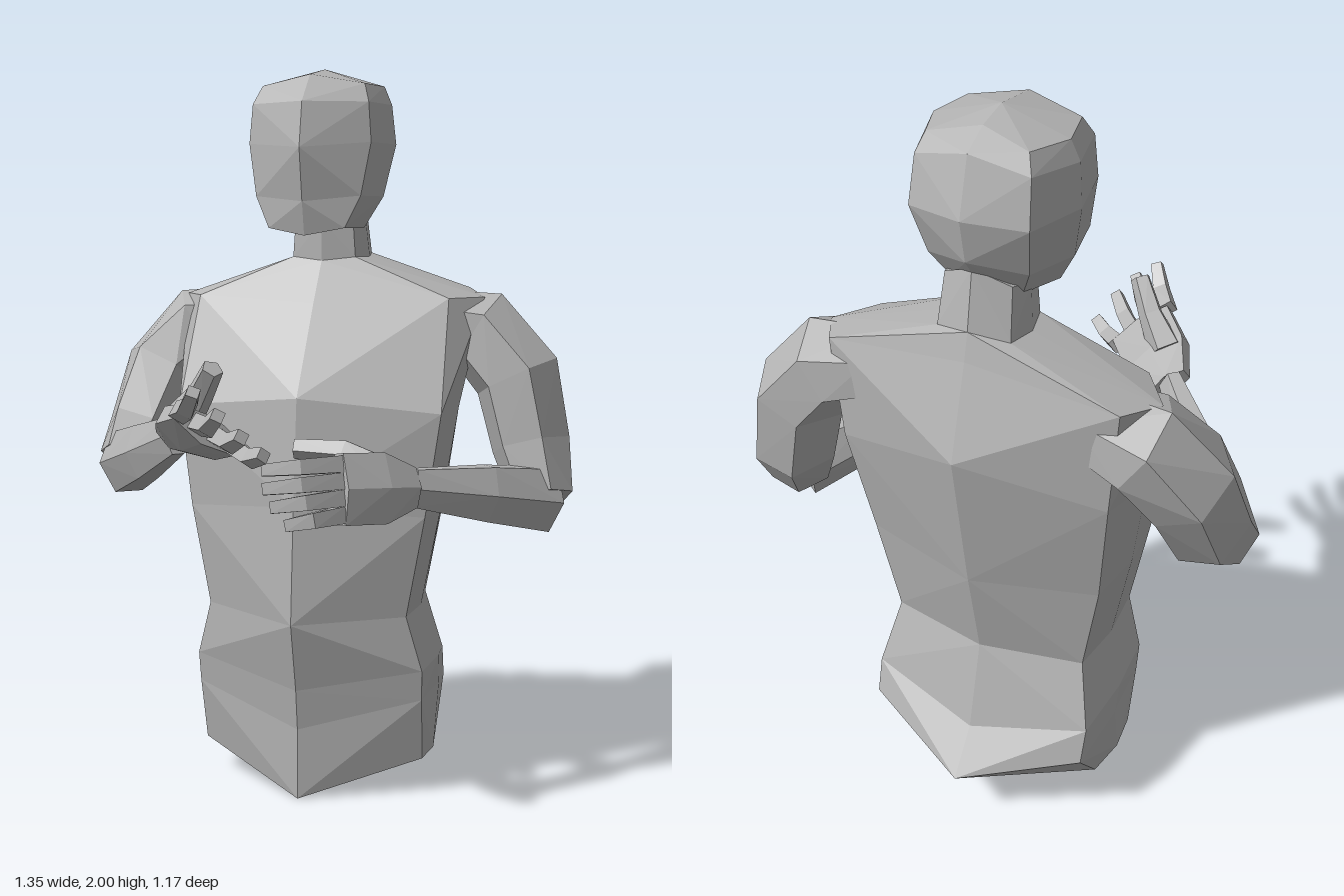
import * as THREE from 'three';

const V = (p) => new THREE.Vector3(...p);
const lerp = (a, b, t) => a.map((v, i) => v + (b[i] - v) * t);
const plus = (a, b, s = 1) => a.map((v, i) => v + b[i] * s);

// Whether folding the quad a-b-c-d along a-c makes it bulge outward
function bulges(a, b, c, d) {
  const normal = V(plus(c, a, -1)).cross(V(plus(d, b, -1)));
  return normal.dot(V(plus(plus(a, c), plus(b, d), -1))) >= 0;
}

// Flat-faceted skin over closed rings of equal length, ends closed by fans
function loft(rings, startCap, endCap) {
  const pos = [];
  const tri = (a, b, c) => pos.push(...a, ...b, ...c);
  const n = rings[0].length;
  const end = rings[rings.length - 1];
  for (let i = 0; i < n; i++) {
    const j = (i + 1) % n;
    for (let k = 0; k < rings.length - 1; k++) {
      const quad = [rings[k][i], rings[k][j], rings[k + 1][j], rings[k + 1][i]];
      const [a, b, c, d] = bulges(...quad) ? quad : [...quad.slice(1), quad[0]];
      tri(a, b, c);
      tri(a, c, d);
    }
    tri(startCap, rings[0][j], rings[0][i]);
    tri(endCap, end[i], end[j]);
  }
  const g = new THREE.BufferGeometry();
  g.setAttribute('position', new THREE.Float32BufferAttribute(pos, 3));
  g.computeVertexNormals();
  return g;
}

// Eight-point body section: half width, heights and depths from front to back,
// with the corners set in from the side by the given fractions
function section(w, yFront, ySide, yBack, zFront, zCorner, zRear, zBack, front, rear) {
  const half = [
    [w * front, ySide, zCorner],
    [w, ySide, (zCorner + zRear) / 2],
    [w * rear, ySide + (yBack - ySide) * 0.3, zRear],
  ];
  const mirrored = half.map(([x, y, z]) => [-x, y, z]).reverse();
  return [[0, yFront, zFront], ...half, [0, yBack, zBack], ...mirrored];
}

// Tapered limb along points; radii are [halfWidth, halfThickness]
function limb(path, radii, wide, sides) {
  const pts = path.map(V);
  const last = pts.length - 1;
  const rings = pts.map((p, k) => {
    const t = pts[Math.min(k + 1, last)].clone().sub(pts[Math.max(k - 1, 0)]).normalize();
    const w = V(wide).addScaledVector(t, -V(wide).dot(t)).normalize();
    const n = t.clone().cross(w);
    const [rw, rt] = radii[k];
    return Array.from({ length: sides }, (_, i) => {
      const a = ((i + 0.5) / sides) * Math.PI * 2;
      return p.clone().addScaledVector(w, Math.cos(a) * rw).addScaledVector(n, Math.sin(a) * rt).toArray();
    });
  });
  return loft(rings, path[0], path[last]);
}

const grey = new THREE.MeshStandardMaterial({ color: 0xb4b4b4 });
grey.name = 'grey';

function add(parent, name, geometry) {
  const mesh = new THREE.Mesh(geometry, grey);
  mesh.name = name;
  parent.add(mesh);
  return mesh;
}

// Arm from shoulder to fingertips; knuckles and tips run from first to last finger
function buildArm(name, { upper, middle, wrist, thumb, knuckles, tips, arch, bend }) {
  const arm = new THREE.Group();
  arm.name = name;
  const elbow = upper[upper.length - 1];
  const across = plus(knuckles[0], knuckles[1], -1);
  const palmEnd = lerp(...knuckles, 0.5);

  add(arm, 'upperArm', limb(upper, [[0.11, 0.09], [0.135, 0.12], [0.14, 0.122], [0.135, 0.11], [0.09, 0.085]], [0, 0, 1], 6));
  add(arm, 'forearm', limb([elbow, middle, wrist], [[0.1, 0.08], [0.085, 0.06], [0.057, 0.033]], [0, 1, 0], 6));
  add(arm, 'palm', limb([wrist, lerp(wrist, palmEnd, 0.45), palmEnd], [[0.06, 0.04], [0.105, 0.052], [0.105, 0.038]], across, 6));
  add(arm, 'thumb', limb(thumb, [[0.05, 0.055], [0.035, 0.037], [0.028, 0.026]], across, 5));

  // Four fingers fanned across the knuckle line, the middle two longer
  for (let i = 0; i < 4; i++) {
    const base = lerp(...knuckles, i / 3);
    const tip = plus(lerp(...tips, i / 3), arch, i === 1 || i === 2 ? 1 : 0);
    const joint = plus(lerp(base, tip, 0.5), bend);
    add(arm, 'finger' + (i + 1), limb([base, joint, tip], [[0.03, 0.03], [0.027, 0.027], [0.021, 0.021]], across, 4));
  }
  return arm;
}

export function createModel() {
  const model = new THREE.Group();
  model.name = 'upperBodyFigure';

  // Torso: pelvis, seat, hips, waist, ribs, chest
  const trunk = [
    [0.33, 0, 0.1, 0.075, 0.02, -0.125, -0.33, -0.49],
    [0.335, 0.2, 0.28, 0.17, 0.02, -0.09, -0.45, -0.585],
    [0.337, 0.315, 0.365, 0.285, 0.035, -0.08, -0.42, -0.49],
    [0.293, 0.51, 0.52, 0.53, 0.08, -0.065, -0.36, -0.42],
    [0.345, 0.83, 0.8, 0.8, 0.055, -0.06, -0.38, -0.47],
    [0.385, 1.12, 1.08, 1.21, 0.025, -0.07, -0.43, -0.53],
  ].map((s) => section(...s, 0.97, 0.93));
  // Shoulders, neck base and neck top
  const neck = [
    [0.44, 1.365, 1.38, 1.45, -0.13, -0.21, -0.43, -0.45],
    [0.11, 1.48, 1.49, 1.52, -0.21, -0.235, -0.4, -0.43],
    [0.1, 1.59, 1.61, 1.67, -0.21, -0.235, -0.37, -0.4],
  ].map((s) => section(...s, 0.82, 0.86));
  add(model, 'torsoAndNeck', loft([...trunk, ...neck], [0, 0.03, -0.23], [0, 1.63, -0.3])).position.x = -0.03;

  // Head from jaw to crown
  const head = [
    [0.125, 1.55, 1.57, 1.645, -0.045, -0.065, -0.33, -0.39],
    [0.172, 1.64, 1.655, 1.7, -0.025, -0.08, -0.37, -0.43],
    [0.2, 1.78, 1.795, 1.81, 0, -0.095, -0.41, -0.45],
    [0.19, 1.9, 1.9, 1.95, -0.025, -0.1, -0.385, -0.405],
    [0.168, 1.975, 1.95, 1.985, -0.1, -0.13, -0.36, -0.33],
  ].map((s) => section(...s, 0.85, 0.74));
  add(model, 'head', loft(head, [0, 1.575, -0.2], [0, 2, -0.24])).position.x = -0.03;

  // Left arm held low across the belly
  model.add(buildArm('leftArm', {
    upper: [[0.25, 1.31, -0.34], [0.39, 1.285, -0.355], [0.5, 1.16, -0.345], [0.545, 0.97, -0.33], [0.59, 0.83, -0.27]],
    middle: [0.46, 0.87, -0.09],
    wrist: [0.3, 0.905, 0.075],
    thumb: [[0.23, 0.95, 0.125], [0.13, 1, 0.125], [0, 1.005, 0.135]],
    knuckles: [[0.15, 0.985, 0.235], [0.16, 0.86, 0.26]],
    tips: [[-0.025, 0.975, 0.325], [0.045, 0.845, 0.36]],
    arch: [-0.015, 0, 0.01],
    bend: [0.005, 0.005, 0.03],
  }));

  // Right arm raised with the palm turned up
  model.add(buildArm('rightArm', {
    upper: [[-0.3, 1.31, -0.34], [-0.435, 1.285, -0.345], [-0.53, 1.16, -0.285], [-0.565, 0.99, -0.2], [-0.595, 0.9, -0.13]],
    middle: [-0.46, 0.96, 0.04],
    wrist: [-0.29, 1.04, 0.235],
    thumb: [[-0.24, 1.09, 0.32], [-0.175, 1.16, 0.365], [-0.12, 1.235, 0.415]],
    knuckles: [[-0.19, 1.13, 0.455], [-0.08, 1.035, 0.365]],
    tips: [[-0.11, 1.195, 0.57], [0.025, 1.035, 0.46]],
    arch: [0.015, 0, 0.035],
    bend: [0.005, -0.015, 0.01],
  }));
  return model;
}
